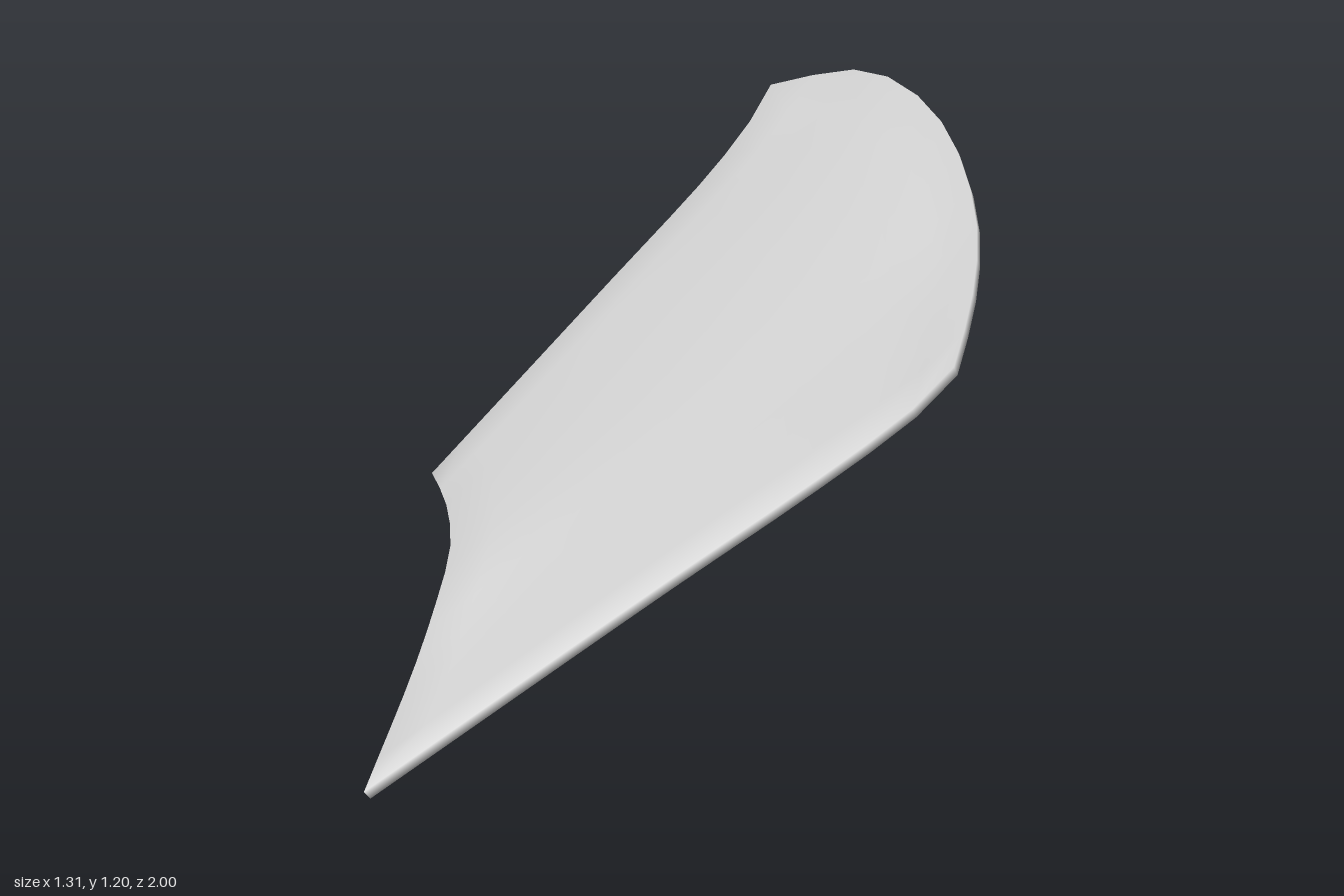
import * as THREE from 'three';
import { ParametricGeometry } from 'three/addons/geometries/ParametricGeometry.js';
import { mergeGeometries, mergeVertices } from 'three/addons/utils/BufferGeometryUtils.js';

// Smooth edge curve through a few [x, y, z] points
const edge = (...pts) =>
  new THREE.CatmullRomCurve3(pts.map((p) => new THREE.Vector3(...p)), false, 'centripetal');

// Four border edges of the curved plate
const leftEdge = edge([-0.65, 0.35, 0.14], [-0.39, 0.675, -0.4], [-0.2, 0.915, -0.79],
  [-0.13, 1.03, -0.93], [-0.1, 1.105, -0.995]);
const rightEdge = edge([-0.43, 0.014, 0.99], [0.1, 0.375, 0.52], [0.4, 0.575, 0.26],
  [0.58, 0.71, 0.1], [0.65, 0.79, 0.03]);
const notchEdge = edge([-0.65, 0.35, 0.14], [-0.6, 0.345, 0.2], [-0.53, 0.34, 0.3],
  [-0.47, 0.315, 0.42], [-0.44, 0.255, 0.57], [-0.433, 0.16, 0.72], [-0.43, 0.014, 0.99]);
const roundEdge = edge([-0.1, 1.105, -0.995], [0.03, 1.147, -0.992], [0.15, 1.178, -0.97],
  [0.26, 1.183, -0.905], [0.39, 1.148, -0.8], [0.5, 1.08, -0.66], [0.595, 0.97, -0.46],
  [0.642, 0.875, -0.2], [0.65, 0.79, 0.03]);

const plateNormal = new THREE.Vector3(-0.235, 0.86, 0.45).normalize();
const HALF = 0.015;
const SEGMENTS = 12;
const clamp = (t) => Math.min(1, Math.max(0, t));

// Blend of the four edges; side is +1 for the top skin, -1 for the bottom
function surface(u, v, side, target) {
  u = clamp(u);
  v = clamp(v);
  const borders = [[leftEdge, v, 1 - u], [rightEdge, v, u], [notchEdge, u, 1 - v], [roundEdge, u, v]];
  target.set(0, 0, 0);
  // bilinear base
  for (const [curve, t, weight] of borders.slice(0, 2)) {
    target.addScaledVector(curve.getPoint(0), weight * (1 - t));
    target.addScaledVector(curve.getPoint(1), weight * t);
  }
  // edge bends: outline spreads evenly, height fades quickly towards the middle
  for (const [curve, t, weight] of borders) {
    const bend = curve.getPointAt(t).sub(curve.getPoint(0).lerp(curve.getPoint(1), t));
    target.addScaledVector(bend, weight);
    target.addScaledVector(plateNormal, bend.dot(plateNormal) * (weight ** 3 - weight));
  }
  target.addScaledVector(plateNormal, side * HALF);
}

// Walk round the border, counterclockwise from above
const corners = [[1, 0], [1, 1], [0, 1], [0, 0], [1, 0]];
function rim(s, t, target, i) {
  const [a, b] = [corners[i], corners[i + 1]];
  surface(a[0] + (b[0] - a[0]) * s, a[1] + (b[1] - a[1]) * s, 2 * clamp(t) - 1, target);
}

export function createModel() {
  const group = new THREE.Group();
  group.name = 'curvedPlate';

  // Upper and lower skins
  const pieces = [
    new ParametricGeometry((u, v, p) => surface(u, v, 1, p), SEGMENTS, SEGMENTS),
    new ParametricGeometry((u, v, p) => surface(1 - u, v, -1, p), SEGMENTS, SEGMENTS),
  ];
  // Thin walls closing the border
  for (let i = 0; i < 4; i++) {
    pieces.push(new ParametricGeometry((s, t, p) => rim(s, t, p, i), SEGMENTS, 1));
  }

  // Weld everything so the shading rolls softly over the rim
  for (const piece of pieces) {
    piece.deleteAttribute('normal');
    piece.deleteAttribute('uv');
  }
  const geometry = mergeVertices(mergeGeometries(pieces), 1e-3);
  geometry.computeVertexNormals();

  const plate = new THREE.Mesh(geometry, new THREE.MeshStandardMaterial({ color: 0xcccccc }));
  plate.name = 'plate';
  group.add(plate);
  return group;
}
